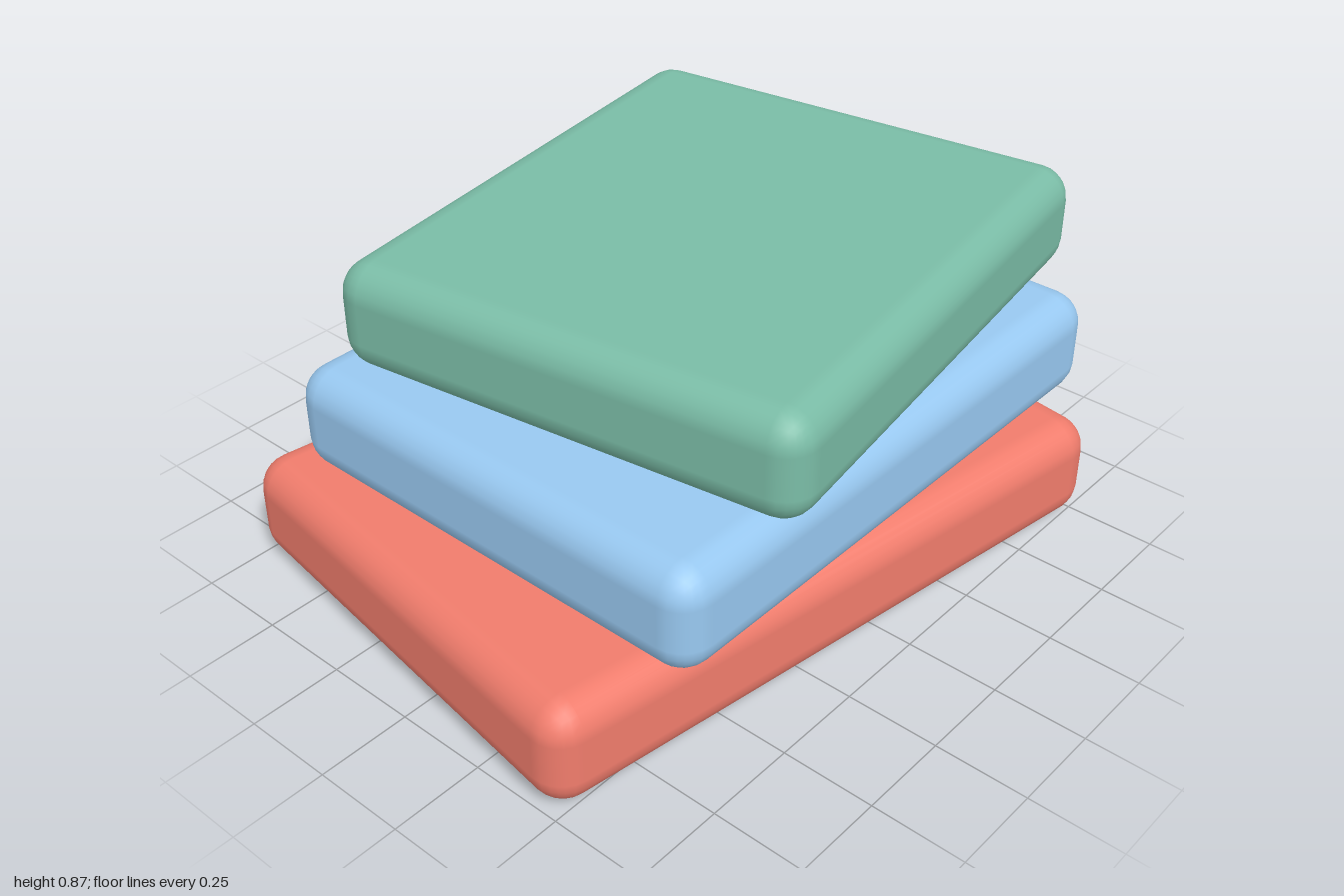
import * as THREE from 'three';
import { RoundedBoxGeometry } from 'three/addons/geometries/RoundedBoxGeometry.js';

const THICKNESS = 0.29;
const DEPTH = 1.316;
const RADIUS = 0.088;

// Slabs from bottom to top: width, centre offset and twist
const SLABS = [
  { name: 'bottomSlab', color: 0xf07c6c, width: 1.81, x: -0.018, z: 0, turn: -0.15 },
  { name: 'middleSlab', color: 0x98c8f0, width: 1.645, x: 0.082, z: 0, turn: 0 },
  { name: 'topSlab', color: 0x7abca6, width: 1.49, x: 0.178, z: -0.03, turn: 0.15 },
];

export function createModel() {
  const model = new THREE.Group();
  model.name = 'slabStack';

  SLABS.forEach(({ name, color, width, x, z, turn }, level) => {
    // Soft-edged slab resting on the one below
    const slab = new THREE.Mesh(
      new RoundedBoxGeometry(width, THICKNESS, DEPTH, 3, RADIUS),
      new THREE.MeshStandardMaterial({ color }),
    );
    slab.name = name;
    slab.position.set(x, THICKNESS * (level + 0.5), z);
    slab.rotation.y = turn;
    model.add(slab);
  });

  return model;
}
